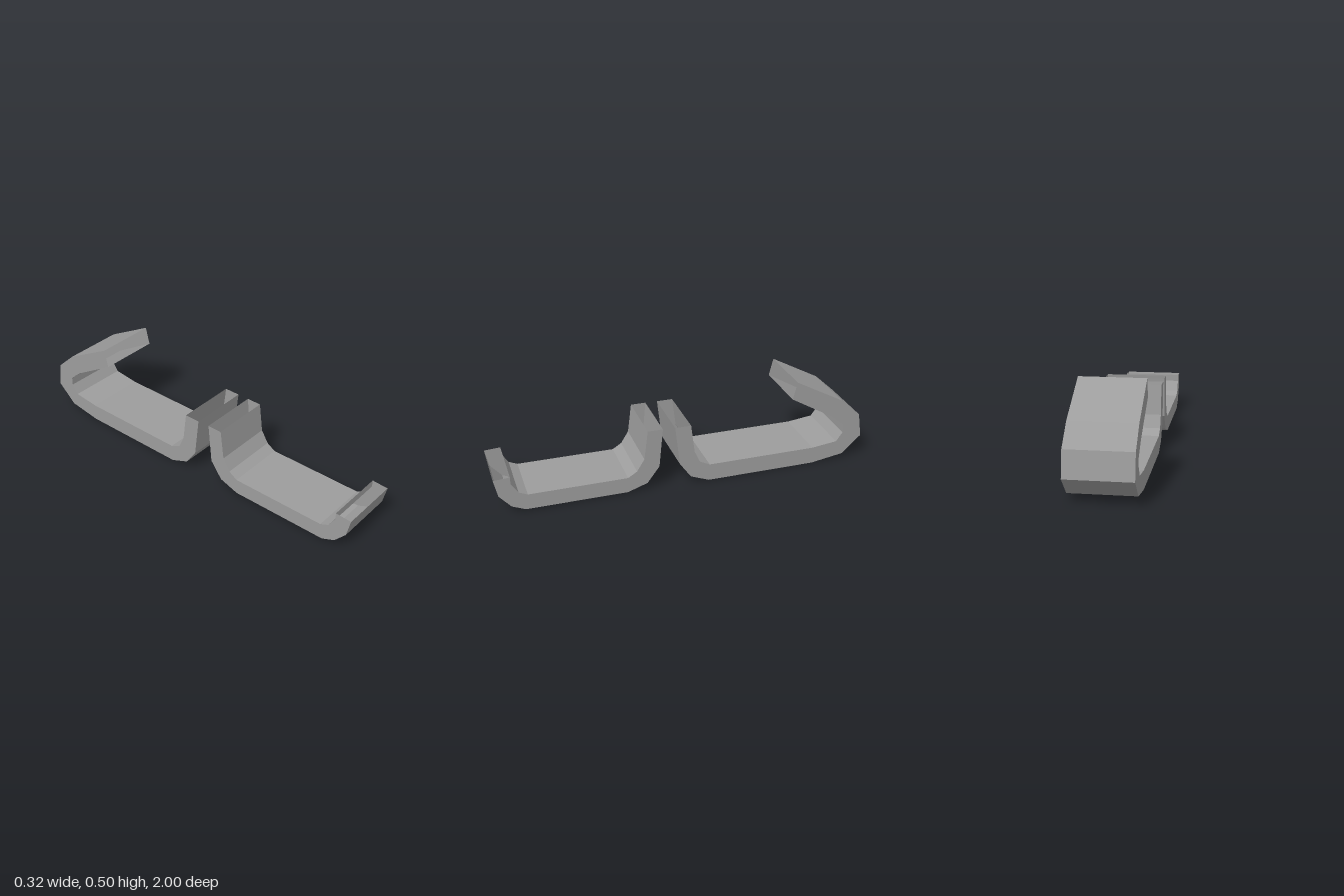
import * as THREE from 'three';

// Hollow rectangular channel swept along paired [z, y] outer and inner profiles, open at both ends
function channel(name, halfWidth, outer, inner) {
  const positions = [];
  const index = [];
  outer.forEach(([oz, oy], i) => {
    const [iz, iy] = inner[i];
    positions.push(-halfWidth, oy, oz, halfWidth, oy, oz, halfWidth, iy, iz, -halfWidth, iy, iz);
    if (i === outer.length - 1) return;
    for (let k = 0; k < 4; k++) {
      const a = i * 4 + k;
      const d = i * 4 + ((k + 1) % 4);
      index.push(a, a + 4, d + 4, a, d + 4, d);
    }
  });
  const indexed = new THREE.BufferGeometry();
  indexed.setAttribute('position', new THREE.Float32BufferAttribute(positions, 3));
  indexed.setIndex(index);
  const geometry = indexed.toNonIndexed();
  geometry.computeVertexNormals();
  const material = new THREE.MeshStandardMaterial({
    color: 0x9d9d9d, flatShading: true, side: THREE.DoubleSide,
  });
  const mesh = new THREE.Mesh(geometry, material);
  mesh.name = name;
  return mesh;
}

export function createModel() {
  const group = new THREE.Group();
  group.name = 'channelPair';

  // Front tray: short lip at the front, taller wall at the middle
  group.add(channel('frontTray', 0.16,
    [[1, 0.198], [0.98, 0.105], [0.92, 0.036], [0.85, 0.006],
      [0.32, 0.006], [0.215, 0.042], [0.15, 0.13], [0.13, 0.342]],
    [[0.915, 0.203], [0.915, 0.165], [0.88, 0.11], [0.835, 0.09],
      [0.318, 0.09], [0.27, 0.12], [0.23, 0.185], [0.21, 0.342]]));

  // Rear tray: wall at the middle, far end curling up and forward into a flap
  group.add(channel('rearTray', 0.162,
    [[0.065, 0.34], [0.04, 0.125], [-0.02, 0.04], [-0.12, 0], [-0.715, 0],
      [-0.895, 0.028], [-1, 0.125], [-0.98, 0.255], [-0.87, 0.355], [-0.603, 0.498]],
    [[-0.02, 0.34], [-0.04, 0.185], [-0.07, 0.12], [-0.125, 0.093], [-0.715, 0.093],
      [-0.855, 0.11], [-0.89, 0.16], [-0.89, 0.205], [-0.82, 0.265], [-0.58, 0.404]]));

  return group;
}
